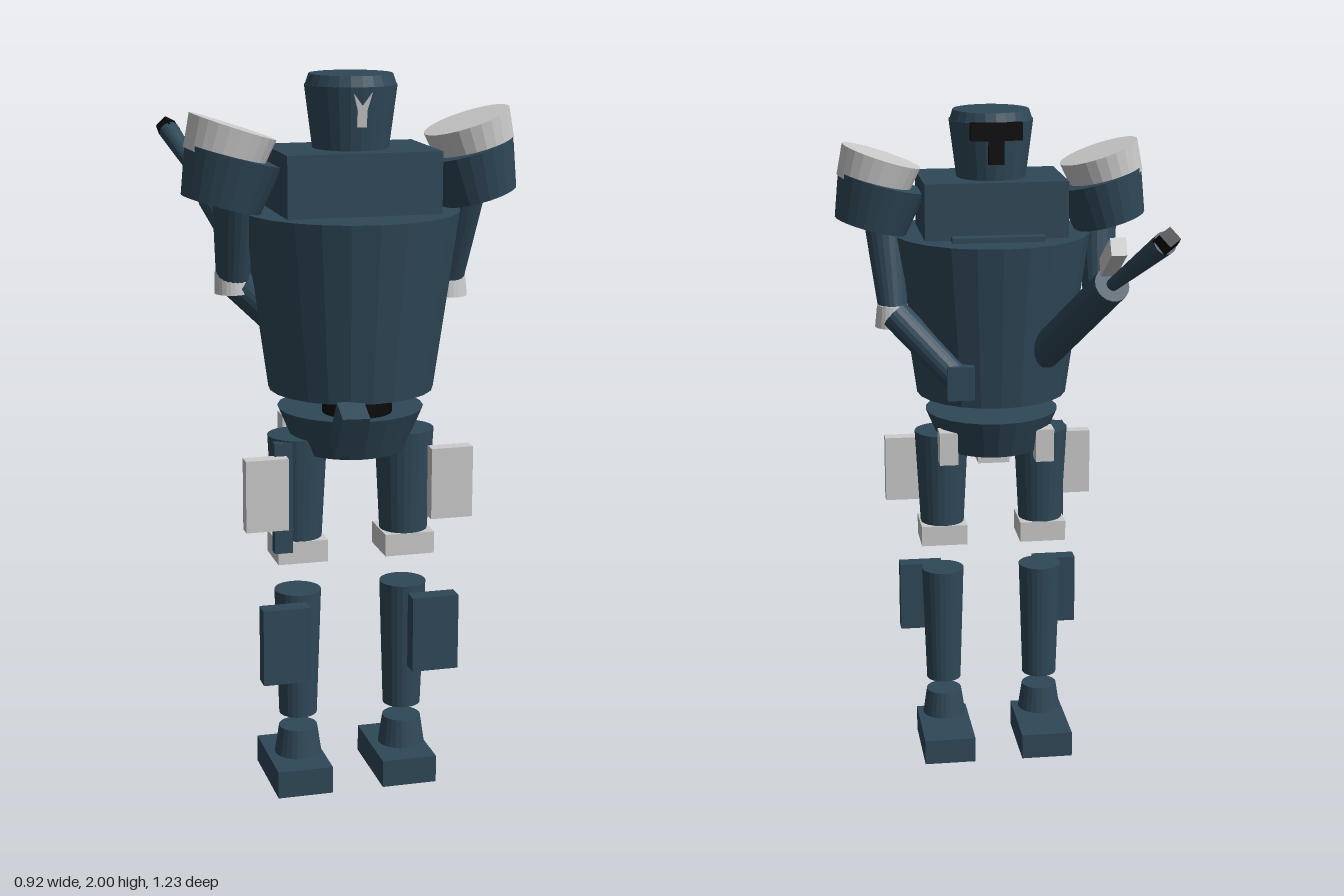
import * as THREE from 'three';

const material = (color) => new THREE.MeshStandardMaterial({ color, flatShading: true });
const blue = material(0x2f4858);
const black = material(0x0a0a0a);
const grey = material(0xcccccc);

export function createModel() {
  const model = new THREE.Group();
  model.name = 'robot';

  function add(name, geometry, mat, pos, rot = [0, 0, 0]) {
    const mesh = new THREE.Mesh(geometry, mat);
    mesh.name = name;
    mesh.position.set(...pos);
    mesh.rotation.set(...rot);
    model.add(mesh);
    return mesh;
  }
  const box = (name, size, mat, pos, rot) =>
    add(name, new THREE.BoxGeometry(...size), mat, pos, rot);
  const cone = (name, rTop, rBottom, h, mat, pos, rot, sides = 24) =>
    add(name, new THREE.CylinderGeometry(rTop, rBottom, h, sides), mat, pos, rot);

  // Tapered rod between two points
  function rod(name, from, to, rFrom, rTo, mat, sides = 20) {
    const a = new THREE.Vector3(...from);
    const b = new THREE.Vector3(...to);
    const dir = b.clone().sub(a);
    const mesh = cone(name, rTo, rFrom, dir.length(), mat,
      a.clone().add(b).multiplyScalar(0.5).toArray(), undefined, sides);
    mesh.quaternion.setFromUnitVectors(new THREE.Vector3(0, 1, 0), dir.normalize());
    return mesh;
  }

  // Body
  cone('torso', 0.293, 0.225, 0.485, blue, [0, 1.3975, 0.318]);
  box('chestBlock', [0.42, 0.18, 0.288], blue, [0, 1.715, 0.319]);
  box('backRidge', [0.27, 0.05, 0.04], blue, [0, 1.63, 0.147]);
  cone('waist', 0.095, 0.095, 0.12, black, [0, 1.13, 0.385]);
  cone('pelvis', 0.2, 0.15, 0.117, blue, [0, 1.042, 0.315]);
  box('beltPouch', [0.075, 0.13, 0.07], blue, [-0.062, 1.09, 0.537], [0.47, 0, -0.04]);
  box('pelvisRearBlock', [0.095, 0.05, 0.06], grey, [0.01, 0.988, 0.21]);

  // Head with front crest and rear T-shaped sight
  cone('head', 0.124, 0.102, 0.17, blue, [0, 1.887, 0.31]);
  cone('headCap', 0.112, 0.122, 0.03, blue, [0, 1.985, 0.31]);
  const crest = new THREE.Shape([
    [-0.013, -0.045], [0.013, -0.045], [0.013, 0], [0.025, 0.045],
    [0, 0.012], [-0.025, 0.045], [-0.013, 0],
  ].map(([x, y]) => new THREE.Vector2(x, y)));
  add('faceCrest', new THREE.ExtrudeGeometry(crest, { depth: 0.02, bevelEnabled: false }),
    grey, [0, 1.915, 0.409], [0.132, 0, 0]);
  box('rearSightBar', [0.15, 0.05, 0.035], black, [0, 1.95, 0.19]);
  box('rearSightStem', [0.045, 0.11, 0.04], black, [0, 1.91, 0.203]);

  for (const s of [1, -1]) {
    const side = s > 0 ? 'left' : 'right';

    // Shoulder cup with flared insert
    cone(side + 'ShoulderCup', 0.132, 0.108, 0.135, blue, [s * 0.338, 1.73, 0.317], [0, 0, s * 0.27]);
    cone(side + 'ShoulderInsert', 0.12, 0.108, 0.09, grey, [s * 0.335, 1.827, 0.317], [0, 0, s * 0.32]);

    // Legs
    const x = s * 0.152;
    const z = 0.325;
    cone(side + 'Thigh', 0.082, 0.065, 0.32, blue, [x, 0.87, z]);
    box(side + 'ThighPlate', [0.118, 0.2, 0.04], grey, [s * 0.26, 0.89, 0.41]);
    box(side + 'Knee', [0.14, 0.062, 0.135], grey, [x, 0.711, z]);
    cone(side + 'Shin', 0.065, 0.053, 0.365, blue, [x, 0.4025, z]);
    box(side + 'ShinPlate', [0.132, 0.215, 0.05], blue, [s * 0.212, 0.4625, 0.425]);
    cone(side + 'Ankle', 0.054, 0.066, 0.08, blue, [x, 0.14, z]);
    box(side + 'Foot', [0.157, 0.078, 0.268], blue, [x, 0.039, 0.281]);
    box(side + 'HipBlock', [0.055, 0.1, 0.06], grey, [s * 0.145, 1.01, 0.21]);
  }
  box('rightThighStrip', [0.05, 0.31, 0.03], blue, [-0.208, 0.87, 0.385]);

  // Left arm reaching behind the back
  rod('leftUpperArm', [0.315, 1.69, 0.32], [0.3, 1.42, 0.24], 0.062, 0.042, blue);
  cone('leftElbow', 0.045, 0.052, 0.065, grey, [0.302, 1.412, 0.24]);
  rod('leftForearm', [0.295, 1.42, 0.21], [0.13, 1.25, 0.105], 0.045, 0.042, blue);
  box('leftHand', [0.08, 0.1, 0.08], blue, [0.12, 1.24, 0.106]);

  // Right arm folded into the body
  rod('rightUpperArm', [-0.318, 1.69, 0.32], [-0.312, 1.45, 0.25], 0.06, 0.044, blue);
  cone('rightElbow', 0.046, 0.047, 0.06, grey, [-0.314, 1.445, 0.25]);
  rod('rightForearm', [-0.3, 1.44, 0.25], [-0.14, 1.28, 0.2], 0.044, 0.04, blue);

  // Cannon pointing up and back
  rod('cannonSleeve', [-0.135, 1.31, 0.14], [-0.25, 1.6, -0.29], 0.05, 0.05, blue);
  rod('cannonBarrel', [-0.247, 1.59, -0.275], [-0.33, 1.765, -0.575], 0.017, 0.031, blue);
  rod('cannonMuzzle', [-0.329, 1.763, -0.572], [-0.337, 1.785, -0.6], 0.034, 0.03, black, 4);
  box('cannonSight', [0.042, 0.05, 0.17], grey, [-0.236, 1.69, -0.368], [0.52, 0, 0]);

  return model;
}
